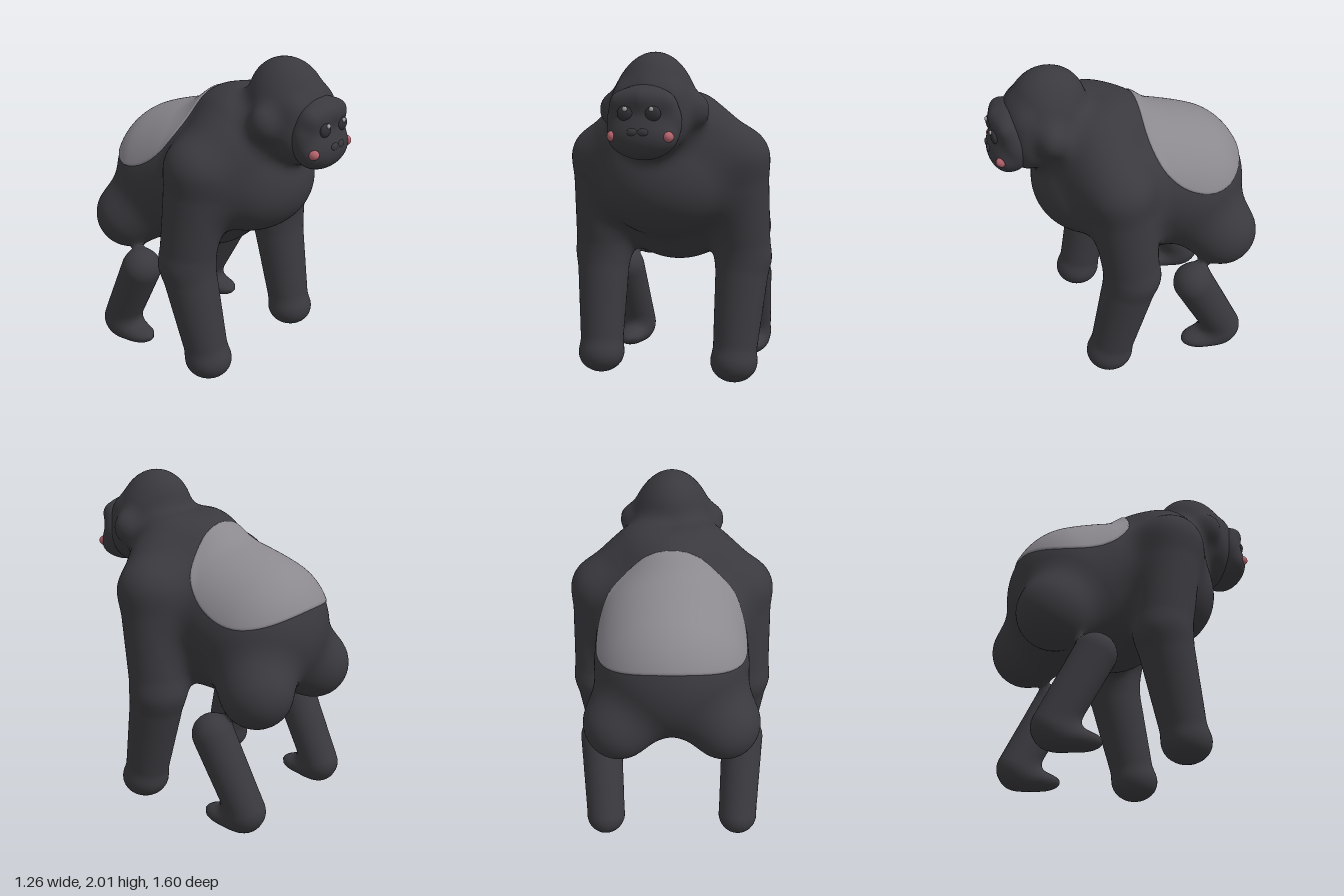
import * as THREE from 'three';

// ---- soft-blob helpers: signed distances, with x mirrored by the caller ----
const ellipsoid = (x, y, z, [cx, cy, cz], [rx, ry, rz]) => {
  const a = (x - cx) / rx, b = (y - cy) / ry, c = (z - cz) / rz;
  const k0 = Math.hypot(a, b, c), k1 = Math.hypot(a / rx, b / ry, c / rz);
  return k1 < 1e-6 ? -Math.min(rx, ry, rz) : k0 * (k0 - 1) / k1;
};
const limb = (x, y, z, a, b, ra, rb) => {
  const d = [b[0] - a[0], b[1] - a[1], b[2] - a[2]];
  let t = ((x - a[0]) * d[0] + (y - a[1]) * d[1] + (z - a[2]) * d[2]) / (d[0] ** 2 + d[1] ** 2 + d[2] ** 2);
  t = Math.min(1, Math.max(0, t));
  return Math.hypot(x - a[0] - t * d[0], y - a[1] - t * d[1], z - a[2] - t * d[2]) - ra - (rb - ra) * t;
};
const blend = (a, b, k) => {
  const h = Math.max(k - Math.abs(a - b), 0) / k;
  return Math.min(a, b) - h * h * k / 4;
};

// ---- animal body ----
function body(px, y, z) {
  const x = Math.abs(px);
  // torso: chest, breast, shoulder hump, waist, rear, belly
  let d = ellipsoid(x, y, z, [0, 1.31, 0.12], [0.45, 0.42, 0.39]);
  d = blend(d, ellipsoid(x, y, z, [0, 1.2, 0.235], [0.37, 0.275, 0.3]), 0.08);
  d = blend(d, ellipsoid(x, y, z, [0, 1.61, 0.05], [0.25, 0.17, 0.22]), 0.1);
  d = blend(d, ellipsoid(x, y, z, [0, 1.24, -0.15], [0.45, 0.4, 0.38]), 0.1);
  d = blend(d, ellipsoid(x, y, z, [0, 1.13, -0.385], [0.46, 0.44, 0.405]), 0.1);
  d = blend(d, ellipsoid(x, y, z, [0, 0.99, -0.12], [0.36, 0.285, 0.32]), 0.1);
  // haunches
  d = blend(d, ellipsoid(x, y, z, [0.31, 0.86, -0.585], [0.215, 0.22, 0.22]), 0.13);
  // arms, with a muscle sloping up to the neck
  let arm = limb(x, y, z, [0.42, 1.37, 0.11], [0.455, 0.76, 0.04], 0.195, 0.17);
  arm = blend(arm, limb(x, y, z, [0.455, 0.76, 0.04], [0.43, 0.15, 0.175], 0.17, 0.132), 0.03);
  arm = blend(arm, ellipsoid(x, y, z, [0.43, 0.12, 0.185], [0.14, 0.115, 0.142]), 0.04);
  arm = blend(arm, limb(x, y, z, [0.42, 1.37, 0.11], [0.18, 1.57, 0.19], 0.19, 0.185), 0.05);
  d = blend(d, arm, 0.13);
  // shins and feet
  let leg = limb(x, y, z, [0.44, 0.58, -0.37], [0.415, 0.13, -0.6], 0.127, 0.117);
  leg = blend(leg, ellipsoid(x, y, z, [0.425, 0.067, -0.47], [0.095, 0.06, 0.155]), 0.09);
  d = blend(d, leg, 0.07);
  // head: skull, crown, forehead, hood round the face, ears
  let head = ellipsoid(x, y, z, [0, 1.66, 0.44], [0.262, 0.25, 0.22]);
  head = blend(head, ellipsoid(x, y, z, [0, 1.82, 0.41], [0.16, 0.18, 0.19]), 0.15);
  head = blend(head, limb(x, y, z, [0, 1.765, 0.58], [0.11, 1.74, 0.57], 0.093, 0.09), 0.06);
  head = blend(head, ellipsoid(x, y, z, [0, 1.61, 0.57], [0.225, 0.212, 0.13]), 0.05);
  head = blend(head, ellipsoid(x, y, z, [0.265, 1.675, 0.45], [0.055, 0.07, 0.06]), 0.1);
  d = blend(d, head, 0.09);
  return Math.max(d, -y);
}

// ---- rounded face with brow and muzzle ----
function face(px, y, z) {
  const x = Math.abs(px);
  let d = ellipsoid(x, y, z, [0, 1.612, 0.65], [0.216, 0.209, 0.115]);
  d = blend(d, ellipsoid(x, y, z, [0, 1.528, 0.695], [0.195, 0.118, 0.1]), 0.04);
  d = blend(d, limb(x, y, z, [0, 1.74, 0.72], [0.13, 1.725, 0.69], 0.045, 0.045), 0.06);
  return d;
}

// ---- pale saddle: the body surface slightly raised inside a side-on oval ----
const saddle = (x, y, z) =>
  -blend(0.008 - body(x, y, z), -ellipsoid(0, y, z, [0, 1.7, -0.525], [1, 0.453, 0.433]), 0.02);

// Wrap a smooth skin round a distance function; skip quads that lie inside "cover"
function skin(f, min, max, h, cover) {
  const n = [0, 1, 2].map(i => Math.ceil((max[i] - min[i]) / h) + 1);
  const step = [1, n[0], n[0] * n[1]];
  const val = new Float32Array(n[0] * n[1] * n[2]);
  const at = (i, j, k) => i + j * step[1] + k * step[2];
  for (let k = 0; k < n[2]; k++) for (let j = 0; j < n[1]; j++) for (let i = 0; i < n[0]; i++)
    val[at(i, j, k)] = f(min[0] + i * h, min[1] + j * h, min[2] + k * h);
  const gradient = p => [0, 1, 2].map(a => {
    const e = 0.002, q = [...p], r = [...p];
    q[a] += e; r[a] -= e;
    return (f(...q) - f(...r)) / (2 * e);
  });
  // one vertex in each cell the surface crosses
  const id = new Int32Array(val.length).fill(-1), pos = [], nor = [], index = [];
  for (let k = 0; k < n[2] - 1; k++) for (let j = 0; j < n[1] - 1; j++) for (let i = 0; i < n[0] - 1; i++) {
    const c = at(i, j, k), sum = [0, 0, 0];
    let hits = 0;
    for (let a = 0; a < 3; a++) for (let m = 0; m < 4; m++) {
      const b = (a + 1) % 3, e = (a + 2) % 3, o = [0, 0, 0];
      o[b] = m & 1; o[e] = m >> 1;
      const s = c + o[b] * step[b] + o[e] * step[e], v0 = val[s], v1 = val[s + step[a]];
      if ((v0 < 0) === (v1 < 0)) continue;
      o[a] = v0 / (v0 - v1);
      for (let q = 0; q < 3; q++) sum[q] += o[q];
      hits++;
    }
    if (!hits) continue;
    const p = [i, j, k].map((g, q) => min[q] + (g + sum[q] / hits) * h);
    let g = gradient(p);
    const t = f(...p) / Math.max(0.2, g[0] ** 2 + g[1] ** 2 + g[2] ** 2);
    for (let q = 0; q < 3; q++) p[q] -= Math.min(h / 2, Math.max(-h / 2, t * g[q]));
    g = gradient(p);
    const len = Math.hypot(...g) || 1;
    id[c] = pos.length / 3;
    pos.push(...p);
    nor.push(...g.map(v => v / len));
  }
  // one quad for each grid edge the surface crosses
  for (let k = 1; k < n[2] - 1; k++) for (let j = 1; j < n[1] - 1; j++) for (let i = 1; i < n[0] - 1; i++)
    for (let a = 0; a < 3; a++) {
      const c = at(i, j, k), inside = val[c] < 0;
      if (inside === (val[c + step[a]] < 0)) continue;
      const b = step[(a + 1) % 3], e = step[(a + 2) % 3];
      const q = [id[c - b - e], id[c - e], id[c], id[c - b]];
      if (cover && q.every(v => cover(pos[3 * v], pos[3 * v + 1], pos[3 * v + 2]) < -0.02)) continue;
      if (!inside) q.reverse();
      index.push(q[0], q[1], q[2], q[0], q[2], q[3]);
    }
  const geo = new THREE.BufferGeometry();
  geo.setAttribute('position', new THREE.Float32BufferAttribute(pos, 3));
  geo.setAttribute('normal', new THREE.Float32BufferAttribute(nor, 3));
  geo.setIndex(index);
  return geo;
}

export function createModel() {
  const material = (name, color) => Object.assign(new THREE.MeshStandardMaterial({ color }), { name });
  const fur = material('charcoalFur', 0x3a393e);
  const silver = material('silverFur', 0x8b888e);
  const dark = material('darkEye', 0x313136);
  const glint = material('eyeGlint', 0xa4a4a8);
  const pink = material('pinkCheek', 0xb4636c);

  const model = new THREE.Group();
  model.name = 'ape';
  const add = (name, geometry, mat) => {
    const mesh = new THREE.Mesh(geometry, mat);
    mesh.name = name;
    model.add(mesh);
    return mesh;
  };
  add('body', skin(body, [-0.7125, -0.06, -0.9], [0.7125, 2.08, 0.78], 0.025), fur);
  add('silverBack', skin(saddle, [-0.6, 1.2, -0.9], [0.6, 1.85, -0.04], 0.01, body), silver);
  add('face', skin(face, [-0.26, 1.36, 0.48], [0.26, 1.86, 0.84], 0.0125, body), fur);

  // small features seated on the front of the face
  const faceZ = (x, y) => {
    let z = 0.85;
    while (z > 0.6 && face(x, y, z) > 0) z -= 0.002;
    return z;
  };
  const bead = (name, x, y, lift, r, mat) => {
    const mesh = add(name, new THREE.SphereGeometry(1, 20, 14), mat);
    mesh.position.set(x, y, faceZ(x, y) + lift);
    mesh.scale.set(...r);
  };
  for (const [side, s] of [['left', 1], ['right', -1]]) {
    bead(side + 'Eye', s * 0.08, 1.662, 0, [0.046, 0.042, 0.022], dark);
    bead(side + 'EyeGlint', s * 0.076, 1.687, 0.016, [0.014, 0.014, 0.01], glint);
    bead(side + 'Nostril', s * 0.031, 1.56, -0.003, [0.031, 0.022, 0.012], fur);
    bead(side + 'Cheek', s * 0.161, 1.535, -0.016, [0.03, 0.031, 0.036], pink);
  }
  return model;
}
